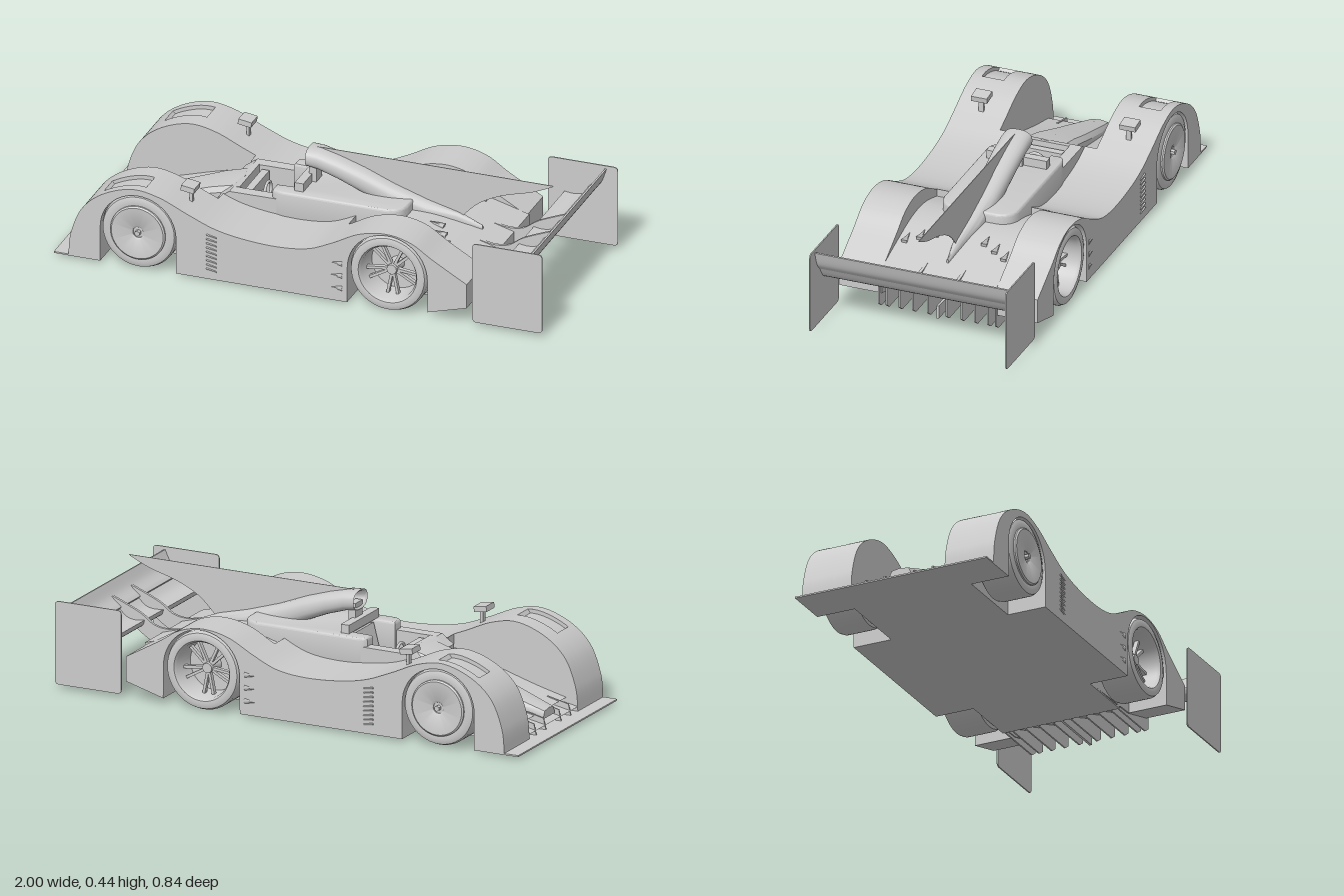
import * as THREE from 'three';
import { toCreasedNormals } from 'three/addons/utils/BufferGeometryUtils.js';

const mat = new THREE.MeshStandardMaterial({ color: 0xcccccc, side: THREE.DoubleSide });
const V = (x, y) => new THREE.Vector2(x, y);
const spline = (pts, n = 40) => new THREE.SplineCurve(pts.map(p => V(...p))).getPoints(n);
const between = (pts, a, b) => pts.filter(p => p.x >= a && p.x <= b);

export function createModel() {
  const car = new THREE.Group();
  const add = (name, geo, x = 0, y = 0, z = 0) => {
    const m = new THREE.Mesh(geo, mat);
    m.name = name;
    m.position.set(x, y, z);
    car.add(m);
    return m;
  };
  // side outline (x, y) extruded from z0 to z1
  const prism = (name, pts, z0, z1) => {
    const shape = new THREE.Shape(pts.map(p => (p.isVector2 ? p : V(...p))));
    const g = new THREE.ExtrudeGeometry(shape, { depth: z1 - z0, bevelEnabled: false });
    return add(name, toCreasedNormals(g.translate(0, 0, z0), 0.6));
  };
  const pair = (name, pts, z0, z1) => {
    prism(name + 'Left', pts, z0, z1);
    prism(name + 'Right', pts, -z1, -z0);
  };
  const sides = fn => [['Left', 1], ['Right', -1]].forEach(([n, s]) => fn(n, s));
  // closed loft along x; each section is a list of [x, y, z] with equal length
  const loft = (name, sections, caps = true, crease = 0.6) => {
    const n = sections[0].length, idx = [];
    for (let i = 0; i < sections.length - 1; i++)
      for (let j = 0; j < n; j++) {
        const a = i * n + j, b = i * n + (j + 1) % n;
        idx.push(a, b, a + n, b, b + n, a + n);
      }
    if (caps) for (let j = 1; j < n - 1; j++) {
      const e = (sections.length - 1) * n;
      idx.push(0, j + 1, j, e, e + j, e + j + 1);
    }
    const g = new THREE.BufferGeometry();
    g.setAttribute('position', new THREE.Float32BufferAttribute(sections.flat(2), 3));
    g.setIndex(idx);
    return add(name, toCreasedNormals(g, crease));
  };

  const FX = -0.655, RX = 0.365, WY = 0.157;

  // floor and splitter, cut out round the wheels
  const half = [[-1, 0.41], [-0.81, 0.41], [-0.81, 0.25], [-0.5, 0.25], [-0.5, 0.41], [0.2, 0.41], [0.2, 0.25], [0.45, 0.25]];
  const outline = [...half, ...half.map(([x, z]) => [x, -z]).reverse()];
  add('floor', new THREE.ExtrudeGeometry(new THREE.Shape(outline.map(p => V(...p))), { depth: 0.006, bevelEnabled: false })
    .rotateX(Math.PI / 2), 0, 0.016);

  // flanks: wavy fender line with wheel arches in the outer strips
  const top = spline([[-0.94, 0.014], [-0.93, 0.11], [-0.885, 0.22], [-0.8, 0.295], [-0.68, 0.336], [-0.57, 0.32], [-0.45, 0.268],
    [-0.34, 0.225], [-0.22, 0.203], [-0.08, 0.196], [0.04, 0.21], [0.14, 0.252], [0.25, 0.308], [0.36, 0.327], [0.46, 0.306],
    [0.55, 0.25], [0.69, 0.17]], 160);
  const arch = (cx, r) => Array.from({ length: 25 }, (_, i) => V(cx + r * Math.cos(i * Math.PI / 24), WY + r * Math.sin(i * Math.PI / 24)));
  const tail = [[0.69, 0.07], [0.53, 0.025]];
  const lower = [...tail, ...arch(RX, 0.164), [0.2, 0.012], [-0.5, 0.012], ...arch(FX, 0.155), [-0.81, 0.012]];
  const notched = top.map(p => (p.x > -0.81 && p.x < -0.64 ? V(p.x, p.y - 0.016) : p));
  pair('flankOuter', [...top, ...lower], 0.37, 0.41);
  pair('flankVented', [...notched, ...lower], 0.28, 0.37);
  pair('flankInner', [...top, ...lower], 0.25, 0.28);
  pair('frontFenderWall', [...between(top, -0.94, 0.14), [0.14, 0.012]], 0.2, 0.25);
  pair('rearFenderWall', [...between(top, 0.13, 0.69), ...tail, [0.13, 0.012]], 0.235, 0.25);
  pair('sidepod', [[-0.41, 0.012], ...between(top, -0.41, 0.15), [0.15, 0.012]], 0.15, 0.2);

  // front deck with an open lip above the splitter, and its fences
  const deck = spline([[-0.89, 0.065], [-0.75, 0.1], [-0.58, 0.15], [-0.41, 0.195]], 16);
  prism('frontDeck', [...deck, [-0.41, 0.012], [-0.7, 0.03], [-0.87, 0.055]], -0.2, 0.2);
  prism('splitterFlap', [[-0.94, 0.035], [-0.86, 0.05], [-0.84, 0.045], [-0.93, 0.028]], -0.2, 0.2);
  for (const z of [0.06, 0.14]) pair('noseFence', [[-0.94, 0.016], [-0.93, 0.06], [-0.84, 0.08], [-0.8, 0.016]], z, z + 0.006);

  // raised nose
  loft('nose', [[-0.92, 0.045, 0.085], [-0.8, 0.06, 0.125], [-0.62, 0.08, 0.185], [-0.48, 0.094, 0.235], [-0.37, 0.1, 0.265]]
    .map(([x, w, h]) => [[x, 0.05, -w], [x, h - 0.025, -w], [x, h - 0.006, -w * 0.8], [x, h, 0],
      [x, h - 0.006, w * 0.8], [x, h - 0.025, w], [x, 0.05, w]]), true, 0.5);

  // cockpit tub with a sunken opening
  const front = [[-0.43, 0.012], [-0.43, 0.225], [-0.38, 0.262]], rear = [[0.1, 0.265], [0.2, 0.23], [0.2, 0.012]];
  prism('cockpitWell', [...front, [-0.355, 0.265], [-0.35, 0.1], [-0.14, 0.08], [-0.1, 0.265], ...rear], -0.105, 0.105);
  pair('cockpitSide', [...front, ...rear], 0.105, 0.152);
  add('dashboard', new THREE.BoxGeometry(0.03, 0.05, 0.19), -0.325, 0.225);
  const steering = add('steeringWheel', new THREE.TorusGeometry(0.035, 0.006, 8, 20), -0.28, 0.215);
  steering.rotation.y = Math.PI / 2;
  const seat = add('seat', new THREE.BoxGeometry(0.03, 0.2, 0.15), -0.135, 0.19);
  seat.rotation.z = -0.25;

  // headrest surround: horseshoe with a rounded rear
  const u = new THREE.Shape();
  u.moveTo(-0.2, 0.1).lineTo(-0.2, 0.135).quadraticCurveTo(-0.19, 0.148, -0.15, 0.148).lineTo(0.26, 0.148)
    .quadraticCurveTo(0.32, 0.14, 0.32, 0.08).lineTo(0.32, -0.08).quadraticCurveTo(0.32, -0.14, 0.26, -0.148)
    .lineTo(-0.15, -0.148).quadraticCurveTo(-0.19, -0.148, -0.2, -0.135).lineTo(-0.2, -0.1).lineTo(-0.1, -0.095).lineTo(-0.1, 0.095);
  add('headrestSurround', toCreasedNormals(new THREE.ExtrudeGeometry(u,
    { depth: 0.1, bevelSize: 0.008, bevelThickness: 0.01, bevelSegments: 3 }).rotateX(Math.PI / 2), 0.6), 0, 0.288);
  add('rollHoop', new THREE.BoxGeometry(0.035, 0.035, 0.25), -0.105, 0.315);
  add('hoopPost', new THREE.BoxGeometry(0.03, 0.09, 0.06), -0.085, 0.345);

  // air scoop: open mouth tapering into the engine cover
  const ring = ([x, y, w, h]) => Array.from({ length: 24 }, (_, i) => {
    const a = i * Math.PI / 12, c = Math.cos(a), s = Math.sin(a);
    return [x - 0.0 * s, y + h * Math.sign(s) * Math.abs(s) ** 0.8, w * Math.sign(c) * Math.abs(c) ** 0.8];
  }).reverse();
  loft('airScoop', [[0.02, 0.385, 0.03, 0.022], [-0.1, 0.4, 0.05, 0.03], [-0.107, 0.4, 0.058, 0.038], [-0.06, 0.395, 0.059, 0.04],
    [0.02, 0.372, 0.059, 0.043], [0.12, 0.335, 0.057, 0.048], [0.24, 0.285, 0.053, 0.05], [0.38, 0.245, 0.04, 0.045],
    [0.5, 0.225, 0.02, 0.035], [0.6, 0.2, 0.004, 0.02]].map(ring), true, 0.9);

  // dorsal fin
  prism('dorsalFin', [[-0.08, 0.437], [0.89, 0.437], ...spline([[0.885, 0.432], [0.8, 0.395], [0.68, 0.36], [0.59, 0.315], [0.53, 0.26],
    [0.5, 0.22]], 20), [0.3, 0.24], [0.1, 0.34], [-0.05, 0.4]], -0.0015, 0.0015);

  // rear deck and its small scoops
  const rearTop = spline([[0.12, 0.215], [0.25, 0.252], [0.38, 0.255], [0.52, 0.225], [0.7, 0.176]], 24);
  prism('rearDeck', [...rearTop, [0.7, 0.12], [0.43, 0.014], [0.12, 0.012]], -0.235, 0.235);
  for (const [x, z, y] of [[0.51, 0.205, 0.232], [0.48, 0.155, 0.24], [0.45, 0.1, 0.248]]) sides((n, s) => {
    const c = add('deckScoop' + n, new THREE.ConeGeometry(0.016, 0.06, 4).rotateY(Math.PI / 4).rotateZ(Math.PI / 2), x, y - 0.003, s * z);
    c.rotation.z = -0.25;
  });

  // diffuser strakes
  prism('diffuserRoof', [[0.43, 0.012], [0.705, 0.112], [0.705, 0.122], [0.43, 0.02]], -0.25, 0.25);
  for (const z of [0.038, 0.1, 0.156, 0.21, 0.242])
    pair('diffuserStrake', [[0.43, 0.012], [0.68, 0.012], [0.705, 0.03], [0.705, 0.115]], z - 0.003, z + 0.003);
  prism('centreStrake', [[0.43, 0.012], [0.7, 0.012], [0.7, 0.066], [0.56, 0.06]], -0.005, 0.005);

  // rear wing: main plane, flap, struts and end plates
  prism('wingMainPlane', [...spline([[0.78, 0.21], [0.79, 0.188], [0.825, 0.18], [0.87, 0.2], [0.905, 0.25]], 16),
    ...spline([[0.9, 0.253], [0.86, 0.218], [0.82, 0.208], [0.78, 0.212]], 12)], -0.405, 0.405);
  prism('wingFlap', [...spline([[0.88, 0.25], [0.895, 0.24], [0.93, 0.275], [0.952, 0.335]], 14),
    ...spline([[0.945, 0.336], [0.92, 0.287], [0.882, 0.254]], 10)], -0.405, 0.405);
  pair('wingStrut', [...spline([[0.62, 0.2], [0.68, 0.19], [0.74, 0.2], [0.8, 0.24], [0.92, 0.29]], 16),
    ...spline([[0.92, 0.275], [0.83, 0.19], [0.76, 0.14], [0.7, 0.13], [0.62, 0.17]], 16)], 0.073, 0.085);
  const plate = new THREE.Shape(), [a, b, c, d, r] = [0.712, 0.998, 0.015, 0.348, 0.018];
  plate.moveTo(a + r, c).lineTo(b - r, c).quadraticCurveTo(b, c, b, c + r).lineTo(b, d - r).quadraticCurveTo(b, d, b - r, d)
    .lineTo(a + r, d).quadraticCurveTo(a, d, a, d - r).lineTo(a, c + r).quadraticCurveTo(a, c, a + r, c);
  sides((n, s) => add('wingEndPlate' + n, new THREE.ExtrudeGeometry(plate, { depth: 0.005, bevelEnabled: false }), 0, 0, s * 0.406 - 0.0025));

  // wheels: covered discs in front, deep spoked rims behind
  const lathe = (pts) => new THREE.LatheGeometry(pts.map(p => V(...p)), 48).rotateX(Math.PI / 2);
  sides((n, s) => {
    const group = (name, x) => {
      const g = new THREE.Group();
      g.name = name + n;
      g.position.set(x, WY, 0);
      if (s < 0) g.rotation.y = Math.PI;
      car.add(g);
      return (part, geo) => { const m = new THREE.Mesh(toCreasedNormals(geo, 0.6), mat); m.name = part; g.add(m); return m; };
    };
    const f = group('frontWheel', FX);
    f('tyre', lathe([[0, 0.255], [0.13, 0.255], [0.147, 0.265], [0.152, 0.28], [0.152, 0.39], [0.146, 0.404], [0.13, 0.41], [0.112, 0.408]]));
    f('wheelCover', lathe([[0.112, 0.405], [0.112, 0.414], [0.106, 0.419], [0.03, 0.414], [0.022, 0.408], [0.022, 0.404], [0, 0.404]]));
    f('wheelNut', new THREE.CylinderGeometry(0.011, 0.011, 0.02, 6).rotateX(Math.PI / 2).translate(0, 0, 0.412));
    const w = group('rearWheel', RX);
    w('tyre', lathe([[0, 0.255], [0.13, 0.255], [0.15, 0.265], [0.157, 0.28], [0.157, 0.39], [0.15, 0.405], [0.135, 0.41],
      [0.12, 0.408], [0.112, 0.395], [0.105, 0.3], [0, 0.295]]));
    w('hub', new THREE.CylinderGeometry(0.02, 0.028, 0.07, 16).rotateX(Math.PI / 2).translate(0, 0, 0.33));
    for (let i = 0; i < 10; i++) {
      const sp = w('spoke', new THREE.BoxGeometry(0.09, 0.011, 0.018).translate(0.062, 0, 0.345));
      sp.rotation.z = i * Math.PI / 5 + (i % 2 ? 0.12 : -0.12);
    }
  });

  // mirrors, side louvres and side vents
  sides((n, s) => {
    add('mirrorStem' + n, new THREE.BoxGeometry(0.012, 0.06, 0.02), -0.475, 0.3, s * 0.305);
    const m = add('mirror' + n, new THREE.BoxGeometry(0.055, 0.022, 0.066), -0.48, 0.338, s * 0.307);
    m.rotation.z = -0.15;
    for (let i = 0; i < 9; i++) {
      const l = add('sideLouvre' + n, new THREE.BoxGeometry(0.042, 0.006, 0.012), -0.355, 0.05 + i * 0.018, s * 0.408);
      l.rotation.set(s * 0.4, 0, -0.2);
    }
    for (const y of [0.065, 0.118, 0.17])
      add('sideVent' + n, new THREE.ConeGeometry(0.014, 0.06, 4).rotateZ(Math.PI / 2).scale(1, 1, 0.35), 0.15, y, s * 0.409);
  });
  return car;
}
